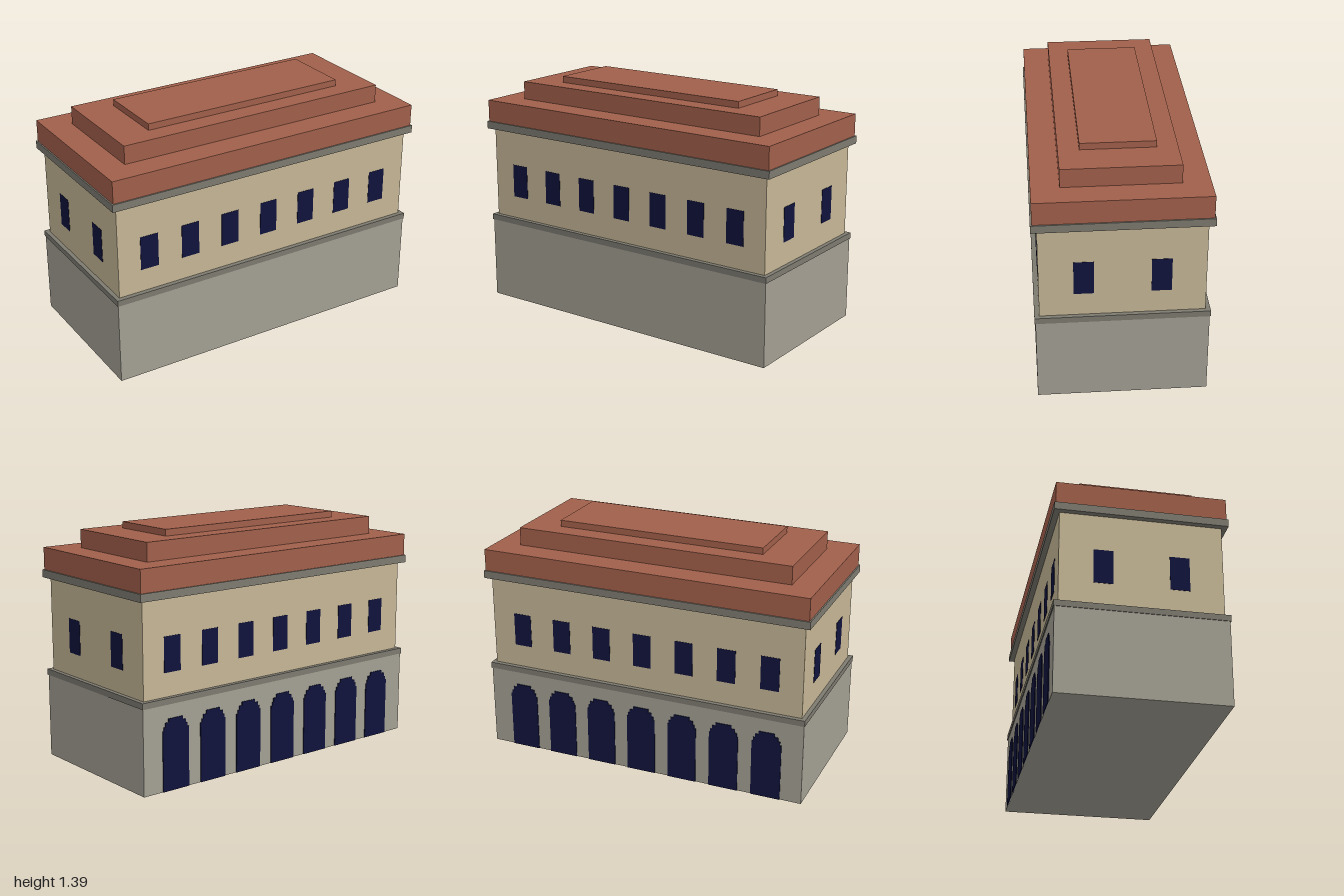
import * as THREE from 'three';

const paint = (color) => new THREE.MeshStandardMaterial({ color });

export function createModel() {
  const model = new THREE.Group();
  const stone = paint(0xa39f93);
  const trim = paint(0x7d7a70);
  const plaster = paint(0xc5b696);
  const tile = paint(0xa15f4a);
  const glass = paint(0x10133c);

  // Box given by its size in x and z and its bottom and top heights
  function block(name, w, d, y0, y1, material, x = 0, z = 0, parent = model) {
    const mesh = new THREE.Mesh(new THREE.BoxGeometry(w, y1 - y0, d), material);
    mesh.position.set(x, (y0 + y1) / 2, z);
    mesh.name = name;
    parent.add(mesh);
    return mesh;
  }

  // Storeys and the bands between them
  block('groundFloor', 1.976, 0.95, 0, 0.49, stone);
  block('stringCourse', 1.984, 0.96, 0.49, 0.525, trim);
  block('upperFloor', 1.934, 0.906, 0.525, 1.07, plaster);
  block('cornice', 2, 0.972, 1.07, 1.115, trim);

  // Stepped roof
  block('roofLowerTier', 1.984, 0.956, 1.115, 1.245, tile);
  block('roofMiddleTier', 1.676, 0.648, 1.245, 1.352, tile);
  block('roofTopTier', 1.256, 0.416, 1.352, 1.39, tile);

  // Arched opening outline with a stepped crown
  const steps = [[0.088, 0.345], [0.08, 0.367], [0.069, 0.39], [0.048, 0.41]];
  const outline = [];
  let floor = 0;
  for (const [half, top] of steps) {
    outline.push(new THREE.Vector2(half, floor), new THREE.Vector2(half, top));
    floor = top;
  }
  const mirrored = outline.map((p) => new THREE.Vector2(-p.x, p.y)).reverse();
  const archGeometry = new THREE.ExtrudeGeometry(
    new THREE.Shape([...outline, ...mirrored]), { depth: 0.01, bevelEnabled: false });

  // Seven bays: windows front and back, arches along the back
  for (let i = 0; i < 7; i++) {
    const x = (i - 3) * 0.258;
    for (const side of [1, -1]) {
      block(side > 0 ? 'frontWindow' : 'backWindow', 0.11, 0.01, 0.66, 0.86, glass, x, side * 0.45);
    }
    const arch = new THREE.Mesh(archGeometry, glass);
    arch.position.set(x, 0, -0.48);
    arch.name = 'archedOpening';
    model.add(arch);
  }

  // Two windows on each end wall
  for (const side of [1, -1]) {
    for (const z of [0.21, -0.21]) {
      block(side > 0 ? 'leftWindow' : 'rightWindow', 0.01, 0.11, 0.66, 0.86, glass, side * 0.964, z);
    }
  }
  return model;
}
